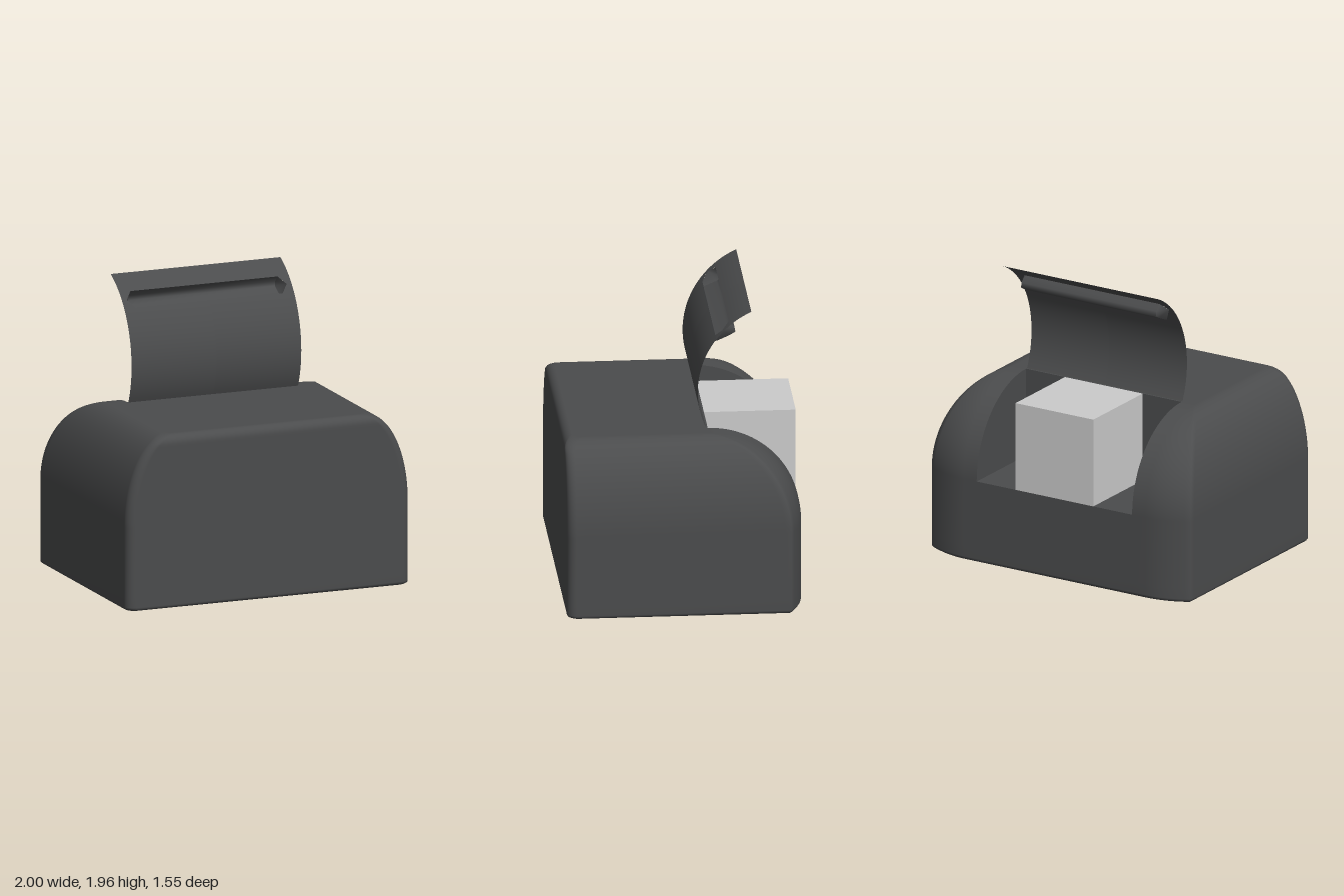
import * as THREE from 'three';

const dark = new THREE.MeshStandardMaterial({ color: 0x4b4c4d });
const darkThin = new THREE.MeshStandardMaterial({ color: 0x4b4c4d, side: THREE.DoubleSide });
const grey = new THREE.MeshStandardMaterial({ color: 0xcccccc });

const TOP = 1.16, BACK = -0.775, R = 0.6, SPRING = TOP - R; // back curve is a quarter circle
const OPEN = 0.6;                                           // half width of the opening

function toGeometry(points, index) {
  const g = new THREE.BufferGeometry();
  g.setAttribute('position', new THREE.Float32BufferAttribute(points.flat(), 3));
  g.setIndex(index);
  g.computeVertexNormals();
  return g;
}

// Joins rows of equal length into a smooth sheet
function sheet(rows) {
  const n = rows[0].length, index = [];
  for (let i = 0; i < rows.length - 1; i++)
    for (let j = 0; j < n - 1; j++) {
      const a = i * n + j;
      index.push(a, a + n, a + 1, a + 1, a + n, a + n + 1);
    }
  return toGeometry(rows.flat(), index);
}

// Plan outline of the housing at one height, from the back right round to the back left
function outline(y, w, back, front, r) {
  const half = [[OPEN, y, back]];
  const bulge = Math.max(w - 0.7, 0), depth = 0.28 * bulge;
  for (let k = 0; k <= 8; k++) half.push([0.7 + bulge * k / 8 , y, back + depth * (k / 8) ** 2]);
  half.push([w, y, back + depth + 0.04]);
  for (let k = 0; k <= 6; k++) {
    const a = k / 6 * Math.PI / 2;
    half.push([w - r + r * Math.cos(a), y, front - r + r * Math.sin(a)]);
  }
  return [...half, ...half.map(([x, h, z]) => [-x, h, z]).reverse()];
}

function housing() {
  const loops = [], e = 0.025;
  // softened bottom edge
  for (let k = 0; k <= 4; k++) {
    const a = k / 4 * Math.PI / 2, inset = e * (1 - Math.sin(a));
    loops.push(outline(e * (1 - Math.cos(a)), 1 - inset, BACK + inset, 0.775 - inset, 0.06));
  }
  loops.push(outline(0.1, 1, BACK, 0.775, 0.06));
  const springRow = loops.length;
  // rounded sides, back and front top edge
  for (let k = 0; k <= 28; k++) {
    const a = k / 28 * Math.PI / 2, y = SPRING + R * Math.sin(a);
    const s = Math.min(1, Math.max(0, (y - TOP + 0.06) / 0.06));
    loops.push(outline(y, 0.7 + 0.3 * Math.cos(a), BACK + R - R * Math.cos(a),
      0.715 + 0.06 * Math.sqrt(1 - s * s), 0.06));
  }
  const n = loops[0].length, points = loops.flat(), index = [];
  for (let i = 0; i < loops.length - 1; i++)
    for (let j = 0; j < n; j++) {
      if (j === n - 1 && i >= springRow) continue; // opening at the back
      const a = i * n + j, b = i * n + (j + 1) % n;
      index.push(a, a + n, b, b, a + n, b + n);
    }
  // flat bottom and top
  const last = (loops.length - 1) * n, c = points.length;
  points.push([0, 0, 0], [0, TOP, 0.2]);
  for (let j = 0; j < n; j++) {
    const k = (j + 1) % n;
    index.push(c, j, k, c + 1, last + k, last + j);
  }
  return toGeometry(points, index);
}

// Open lid: an arc in the z-y plane, with a six-sided cut for the grip
const LID = { z: -0.71, y: 1.41, r: 0.6, from: -24.6, to: 65.4 };
const CUT = { from: 37.1, to: 49.3, half: 0.52, tip: 0.045 };
function lidPoint(x, deg) {
  const a = THREE.MathUtils.degToRad(deg);
  return [x, LID.y + LID.r * Math.sin(a), LID.z + LID.r * Math.cos(a)];
}
function lidStrip(from, to, steps, inner, side) {
  const rows = [];
  for (let i = 0; i <= steps; i++) {
    const t = i / steps, d = from + (to - from) * t;
    const x = inner(t);
    const row = [lidPoint(x * side, d), lidPoint(0.6 * side, d)];
    rows.push(side > 0 ? row : row.reverse());
  }
  return sheet(rows);
}

export function createModel() {
  const model = new THREE.Group();
  const add = (parent, name, geometry, material) => {
    const mesh = new THREE.Mesh(geometry, material);
    mesh.name = name;
    parent.add(mesh);
    return mesh;
  };

  add(model, 'housing', housing(), dark);

  // Cavity behind the lid
  const cavity = new THREE.Group();
  cavity.name = 'cavity';
  model.add(cavity);
  const floor = add(cavity, 'cavityFloor', new THREE.PlaneGeometry(2 * OPEN, R), darkThin);
  floor.rotation.x = -Math.PI / 2;
  floor.position.set(0, SPRING, BACK + R / 2);
  const wall = add(cavity, 'cavityFrontWall', new THREE.PlaneGeometry(2 * OPEN, R), darkThin);
  wall.rotation.y = Math.PI;
  wall.position.set(0, SPRING + R / 2, BACK + R);
  for (const side of [-1, 1]) {
    const cheek = add(cavity, 'cavitySideWall', new THREE.CircleGeometry(R, 28, 0, Math.PI / 2), darkThin);
    cheek.rotation.y = Math.PI / 2;
    cheek.position.set(side * OPEN, SPRING, BACK + R);
  }

  // Block held in the cavity
  const block = add(model, 'block', new THREE.BoxGeometry(0.6, 0.6, 0.6), grey);
  block.position.set(0, SPRING + 0.3, BACK + 0.3);

  // Raised lid
  const lid = new THREE.Group();
  lid.name = 'lid';
  model.add(lid);
  for (const side of [-1, 1]) {
    add(lid, 'lidLowerPanel', lidStrip(LID.from, CUT.from, 20, () => 0, side), darkThin);
    add(lid, 'lidGripSurround', lidStrip(CUT.from, CUT.to, 4,
      t => CUT.half + CUT.tip * (1 - Math.abs(2 * t - 1)), side), darkThin);
    add(lid, 'lidUpperPanel', lidStrip(CUT.to, LID.to, 6, () => 0, side), darkThin);
  }

  // Grip trough sunk into the lid, with tapered ends
  const rim = [lidPoint(0, CUT.to), lidPoint(0, CUT.from)];
  const profile = [
    rim[0], [0, 1.825, -0.357], [0, 1.793, -0.363], [0, 1.77, -0.325],
    [0, 1.735, -0.245], [0, 1.732, -0.229], [0, 1.75, -0.219], rim[1],
  ];
  add(lid, 'gripTrough', sheet(profile.map(([, y, z]) =>
    [[-CUT.half, y, z], [CUT.half, y, z]])), darkThin);
  for (const side of [-1, 1]) {
    const points = profile.map(([, y, z]) => [side * CUT.half, y, z]);
    const apex = points.length, index = [];
    points.push(lidPoint(side * (CUT.half + CUT.tip), (CUT.from + CUT.to) / 2));
    for (let i = 0; i < apex - 1; i++)
      index.push(...(side > 0 ? [apex, i, i + 1] : [apex, i + 1, i]));
    add(lid, 'gripEnd', toGeometry(points, index), darkThin);
  }
  return model;
}
